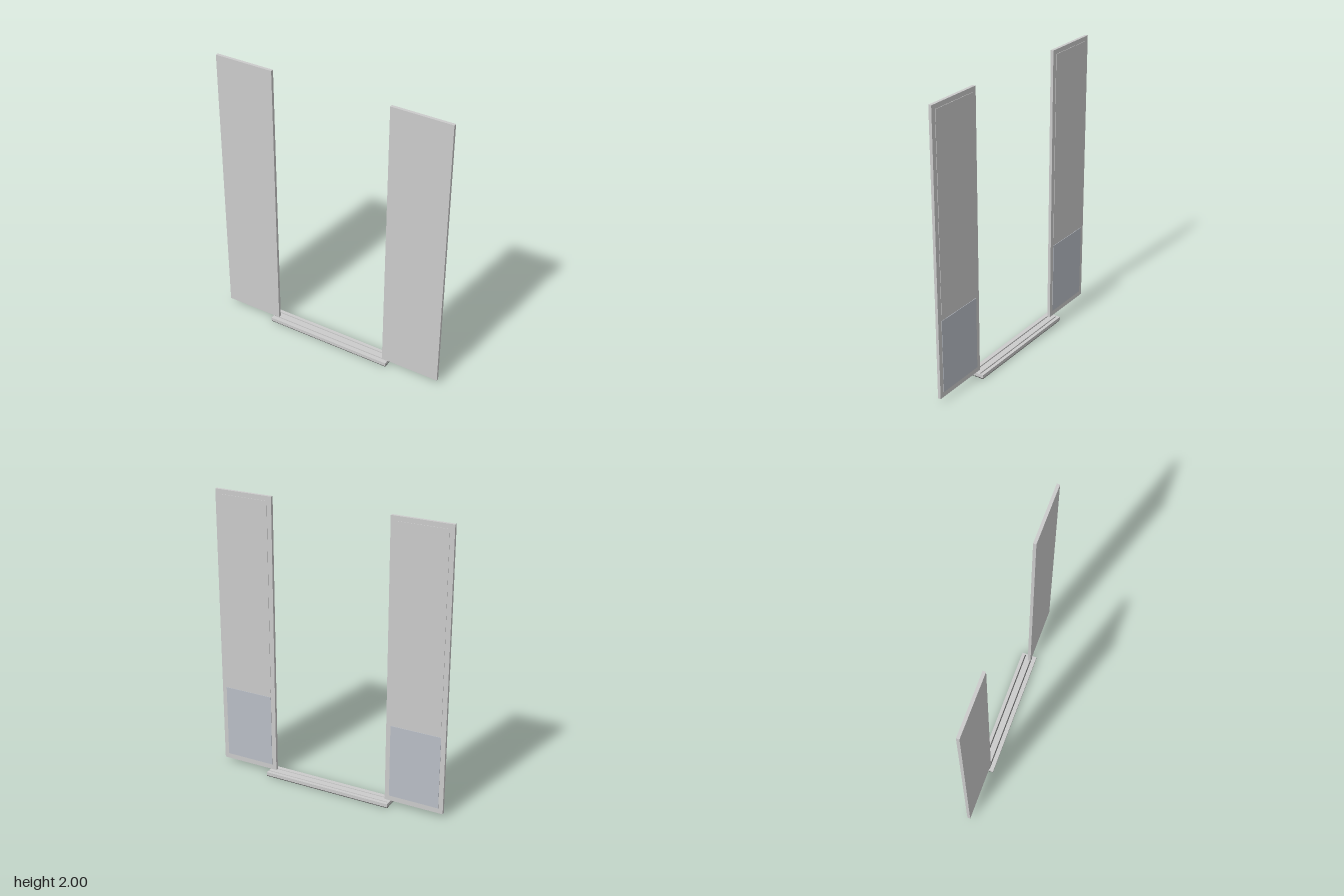
import * as THREE from 'three';

const grey = new THREE.MeshStandardMaterial({ color: 0xcccccc });
const blueGrey = new THREE.MeshStandardMaterial({ color: 0xb9bec6 });
const dark = new THREE.MeshStandardMaterial({ color: 0x555555 });

// Box given by its lower and upper corners
function slab(name, [x0, y0, z0], [x1, y1, z1], material = grey) {
  const mesh = new THREE.Mesh(new THREE.BoxGeometry(x1 - x0, y1 - y0, z1 - z0), material);
  mesh.name = name;
  mesh.position.set((x0 + x1) / 2, (y0 + y1) / 2, (z0 + z1) / 2);
  return mesh;
}

// Tall side panel with two thin sheets set on its back
function createSidePanel(side) {
  const panel = new THREE.Group();
  panel.name = side > 0 ? 'leftPanel' : 'rightPanel';
  panel.add(
    slab('panelBoard', [-0.21, 0.03, 0.002], [0.21, 2, 0.023]),
    slab('upperBackSheet', [-0.178, 0.62, -0.001], [0.178, 1.968, 0.002]),
    slab('lowerBackSheet', [-0.178, 0.067, -0.001], [0.178, 0.585, 0.002], blueGrey)
  );
  panel.position.x = side * 0.63;
  return panel;
}

// Low sill: a grooved section drawn along x, closed by end caps
function createSill() {
  const sill = new THREE.Group();
  sill.name = 'sill';
  const halfDepth = 0.055, top = 0.03, base = 0.006, halfLength = 0.456;
  const section = new THREE.Shape();
  section.moveTo(-halfDepth, base);
  section.lineTo(halfDepth, base);
  section.lineTo(halfDepth, top);
  for (const z of [0.022, -0.028]) {
    section.lineTo(z + 0.004, top);
    section.lineTo(z + 0.004, top - 0.01);
    section.lineTo(z - 0.004, top - 0.01);
    section.lineTo(z - 0.004, top);
  }
  section.lineTo(-halfDepth, top);
  const geometry = new THREE.ExtrudeGeometry(section, { depth: halfLength * 2, bevelEnabled: false });
  geometry.translate(0, 0, -halfLength);
  geometry.rotateY(-Math.PI / 2);
  const body = new THREE.Mesh(geometry, grey);
  body.name = 'sillTrack';
  sill.add(body);

  for (const side of [-1, 1]) {
    const inner = side * halfLength, outer = side * 0.464;
    sill.add(slab('sillEndCap', [Math.min(inner, outer), base, -halfDepth], [Math.max(inner, outer), top, halfDepth]));
  }
  // Dark strips under the sill, and lining the groove floors
  for (const z of [-0.038, 0, 0.038]) {
    sill.add(slab('sillFoot', [-0.464, 0, z - 0.015], [0.464, base, z + 0.015], dark));
  }
  for (const z of [0.022, -0.028]) {
    sill.add(slab('grooveLining', [-halfLength, top - 0.01, z - 0.0038], [halfLength, top - 0.008, z + 0.0038], dark));
  }
  return sill;
}

export function createModel() {
  const model = new THREE.Group();
  model.name = 'doorSurround';
  model.add(createSidePanel(1), createSidePanel(-1), createSill());
  return model;
}
